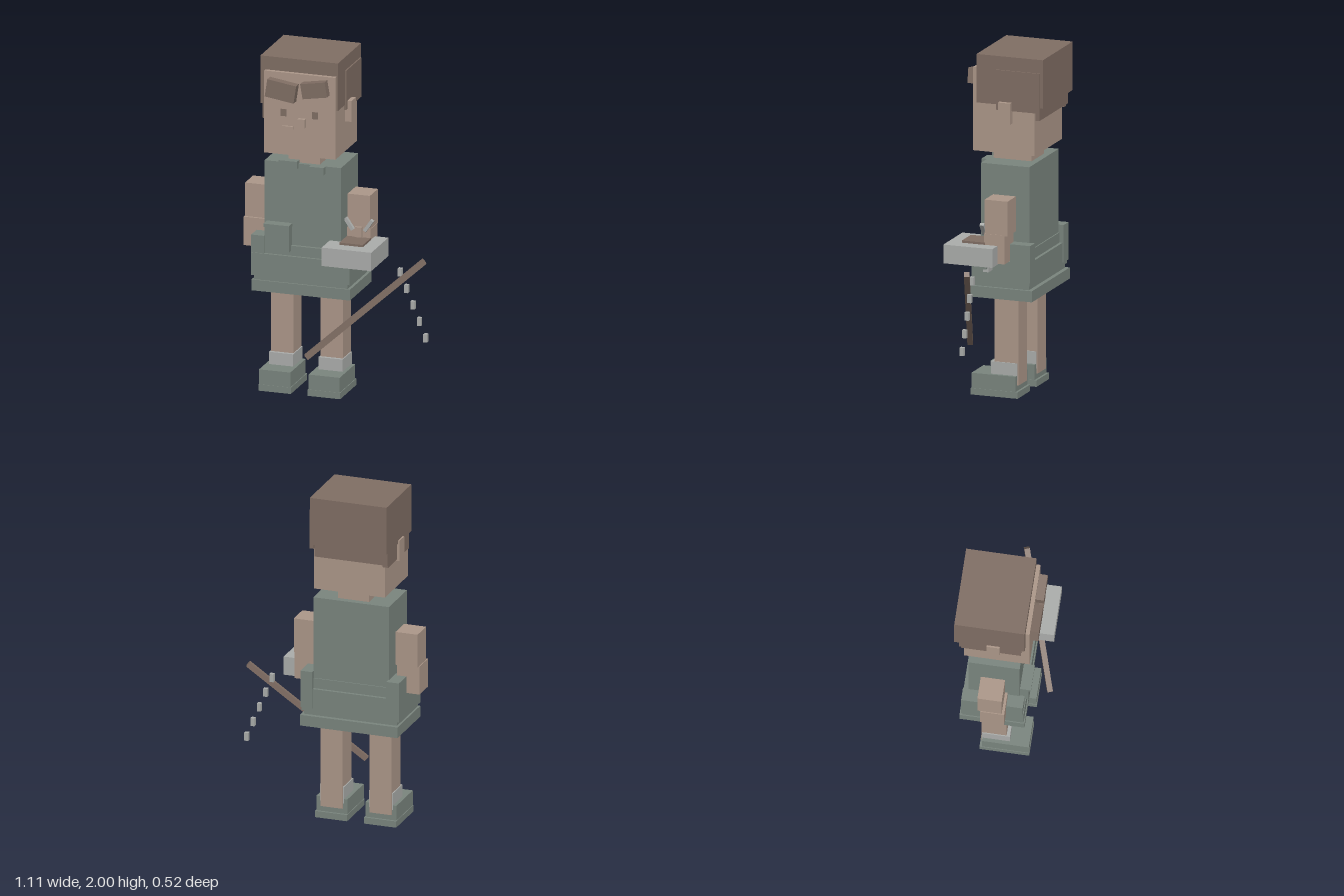
import * as THREE from 'three';

const mat = (name, color) => {
  const m = new THREE.MeshStandardMaterial({ color });
  m.name = name;
  return m;
};

export function createModel() {
  const skin = mat('skin', 0xac9789);
  const brown = mat('brown', 0x806e64);
  const green = mat('green cloth', 0x7a857e);
  const grey = mat('light grey', 0xabadab);

  const model = new THREE.Group();
  model.name = 'blockFigure';
  let parent = model;

  const group = (name) => {
    parent = new THREE.Group();
    parent.name = name;
    model.add(parent);
  };
  // Box given by its limits on each axis, with an optional turn about z
  const box = (name, m, [x0, x1], [y0, y1], [z0, z1], turn = 0) => {
    const mesh = new THREE.Mesh(new THREE.BoxGeometry(x1 - x0, y1 - y0, z1 - z0), m);
    mesh.position.set((x0 + x1) / 2, (y0 + y1) / 2, (z0 + z1) / 2);
    mesh.rotation.z = turn;
    mesh.name = name;
    parent.add(mesh);
    return mesh;
  };

  // Head and face
  group('head');
  box('skull', skin, [-0.39, 0.04], [1.43, 1.92], [-0.21, 0.167]);
  box('neck', skin, [-0.27, -0.08], [1.34, 1.44], [-0.145, 0.09]);
  box('rightEar', skin, [-0.43, -0.38], [1.61, 1.735], [-0.075, 0]);
  box('leftEar', skin, [0.03, 0.08], [1.61, 1.735], [-0.075, 0]);
  box('nose', skin, [-0.18, -0.137], [1.607, 1.657], [0.16, 0.19]);
  box('mouth', skin, [-0.277, -0.212], [1.588, 1.604], [0.16, 0.18]);
  for (const x of [-0.272, -0.082])
    box('eye', brown, [x - 0.017, x + 0.017], [1.66, 1.702], [0.163, 0.17]);
  box('rightBrow', brown, [-0.363, -0.187], [1.768, 1.874], [0.16, 0.215], -0.15);
  box('leftBrow', brown, [-0.15, 0], [1.8, 1.89], [0.16, 0.215], 0.17);

  // Hair
  group('hair');
  box('hairTop', brown, [-0.42, 0.047], [1.915, 2.0], [-0.263, 0.143]);
  box('hairCap', brown, [-0.42, 0.047], [1.715, 1.93], [-0.263, 0.143]);
  box('leftHairPanel', brown, [0.03, 0.055], [1.685, 1.92], [-0.245, 0.02]);
  box('rightHairPanel', brown, [-0.415, -0.38], [1.62, 1.73], [-0.225, 0.12]);
  box('backHairBand', brown, [-0.415, 0.03], [1.635, 1.73], [-0.235, -0.2]);

  // Shirt with stepped skirt
  group('shirt');
  box('torso', green, [-0.405, 0.055], [0.8, 1.365], [-0.183, 0.112]);
  box('skirtTop', green, [-0.44, 0.09], [0.76, 0.875], [-0.19, 0.13]);
  box('skirtMiddle', green, [-0.475, 0.118], [0.68, 0.815], [-0.208, 0.145]);
  box('skirtSeam', green, [-0.46, 0.105], [0.64, 0.7], [-0.2, 0.14]);
  box('hem', green, [-0.472, 0.122], [0.59, 0.655], [-0.225, 0.15]);
  box('rightCorner', green, [-0.477, -0.4], [0.7, 0.92], [-0.215, -0.09]);
  box('leftCorner', green, [0.05, 0.122], [0.7, 0.92], [-0.215, -0.09]);
  box('rightSide', green, [-0.477, -0.4], [0.7, 0.92], [-0.09, 0.14]);
  box('rightCollar', green, [-0.31, -0.2], [1.34, 1.385], [0.1, 0.145]);
  box('leftCollar', green, [-0.128, -0.038], [1.322, 1.365], [0.1, 0.145]);
  box('pocket', green, [-0.39, -0.24], [0.845, 0.985], [0.1, 0.162]);
  box('pocketFlap', green, [-0.392, -0.238], [0.985, 1.005], [0.1, 0.175]);

  // Arms
  group('arms');
  box('rightUpperArm', skin, [-0.552, -0.418], [0.99, 1.19], [-0.11, 0.03]);
  box('rightForearm', skin, [-0.557, -0.42], [0.82, 0.99], [-0.093, 0.045]);
  box('leftUpperArm', skin, [0.068, 0.202], [0.985, 1.19], [-0.107, 0.033]);
  box('leftForearm', skin, [0.065, 0.205], [0.82, 0.99], [-0.09, 0.035]);

  // Tray with its fittings
  group('tray');
  box('trayBody', grey, [-0.013, 0.286], [0.815, 0.925], [-0.047, 0.253]);
  box('trayPlate', brown, [0.065, 0.207], [0.92, 0.938], [0.03, 0.17]);
  box('knob', skin, [0.115, 0.157], [0.94, 1.0], [0.03, 0.05]);
  box('rightProng', grey, [0.071, 0.091], [0.975, 1.055], [0.03, 0.055], 0.6);
  box('leftProng', grey, [0.188, 0.208], [0.975, 1.055], [0.03, 0.055], -0.6);
  box('trayHook', grey, [0.122, 0.187], [0.76, 0.82], [0.015, 0.05]);
  box('trayHookTip', green, [0.187, 0.217], [0.783, 0.82], [0.02, 0.05]);

  // Falling row of links
  group('links');
  for (let i = 0; i < 5; i++) {
    const x = 0.387 + i * 0.0385, y = 0.755 - i * 0.0945;
    box('link', grey, [x - 0.012, x + 0.012], [y - 0.024, y + 0.024], [0.024, 0.049]);
  }

  // Slanted rod
  group('rod');
  const a = new THREE.Vector3(-0.11, 0.255, 0.243);
  const b = new THREE.Vector3(0.525, 0.828, 0.016);
  const rod = box('rodShaft', brown, [-0.016, 0.016], [-0.016, 0.016], [0, a.distanceTo(b)]);
  rod.position.copy(a).lerp(b, 0.5);
  rod.lookAt(b);

  // Legs, socks and shoes
  for (const [side, x] of [['right', -0.326], ['left', -0.028]]) {
    group(side + 'Leg');
    box('leg', skin, [x - 0.067, x + 0.067], [0.07, 0.6], [-0.111, 0.035]);
    box('sock', grey, [x - 0.073, x + 0.073], [0.1, 0.2], [-0.105, 0.055]);
    box('shoe', green, [x - 0.094, x + 0.094], [0.03, 0.127], [-0.103, 0.167]);
    box('sole', green, [x - 0.098, x + 0.098], [0, 0.038], [-0.117, 0.17]);
  }

  return model;
}
